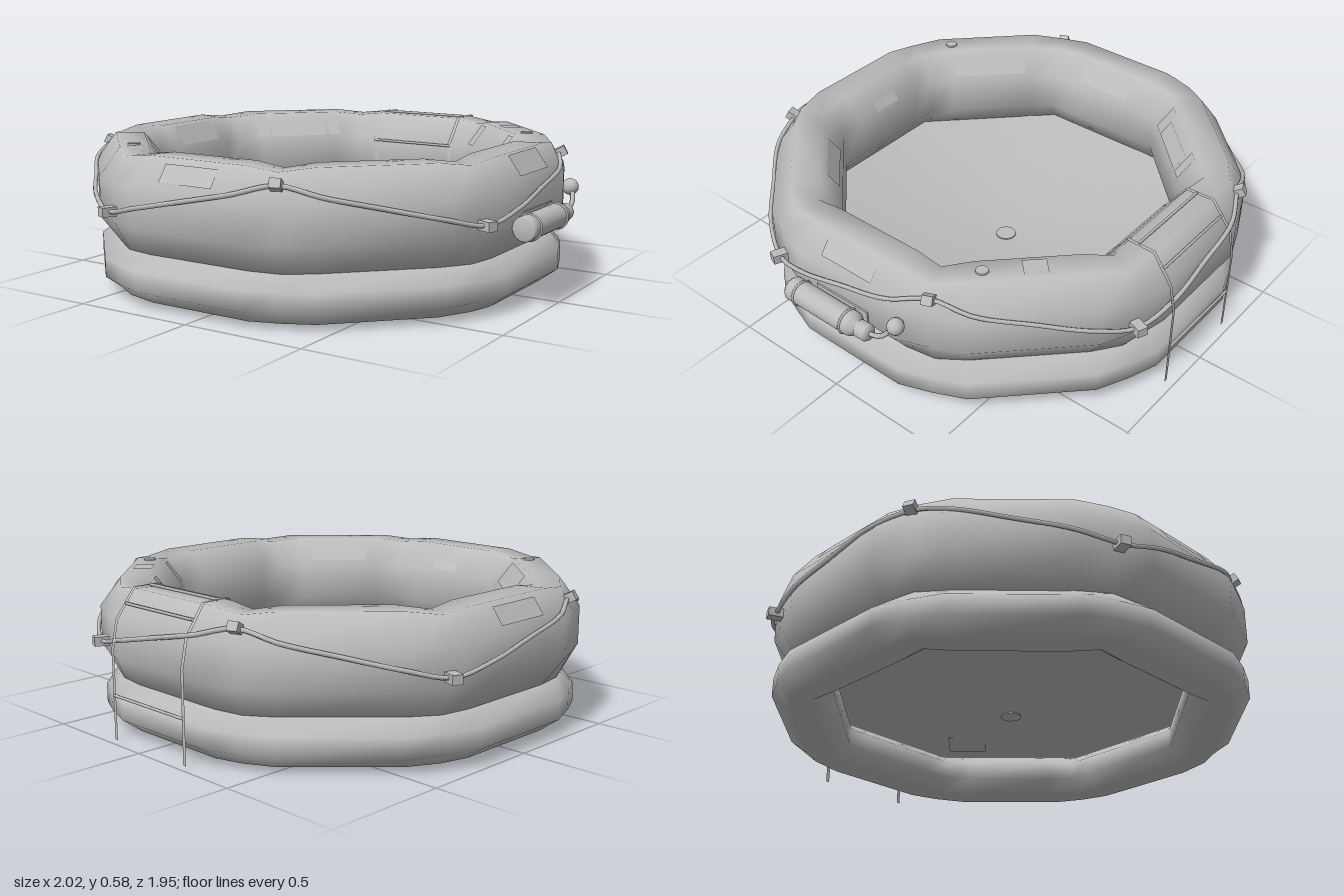
import * as THREE from 'three';

const grey = new THREE.MeshStandardMaterial({ color: 0xbcbcbc });
grey.name = 'grey rubber';
const greySheet = new THREE.MeshStandardMaterial({ color: 0xbcbcbc, side: THREE.DoubleSide });
greySheet.name = 'grey sheet';

// free = side (up or down) that is pinched at the corners, away from the other tube
const UPPER = { apothem: 0.808, rx: 0.1375, y: 0.389, ry: 0.188, free: 1 };
const LOWER = { apothem: 0.812, rx: 0.123, y: 0.109, ry: 0.093, free: -1 };
const TAN = Math.tan(Math.PI / 8);
const rad = THREE.MathUtils.degToRad;

// Position on side k (0 = front, counted towards +x); n outwards, s along the side
function onSide(k, n, s, y) {
  const a = k * Math.PI / 4;
  return new THREE.Vector3(n * Math.sin(a) + s * Math.cos(a), y, n * Math.cos(a) - s * Math.sin(a));
}

// Point on the eight-sided upper tube section; angle 0 = outside, 90 = top, 180 = inside
function onSkin(k, s, deg, off = 0) {
  const t = rad(deg), r = 1 / Math.cos(rad((deg + 382.5) % 45 - 22.5));
  return onSide(k, UPPER.apothem + (UPPER.rx * r + off) * Math.cos(t), s, UPPER.y + (UPPER.ry * r + off) * Math.sin(t));
}

// Grid of points to a smooth surface
function gridGeometry(rows, closed) {
  const R = rows.length, C = rows[0].length, pos = [], idx = [];
  rows.forEach(r => r.forEach(p => pos.push(p.x, p.y, p.z)));
  for (let i = 0; i < (closed ? R : R - 1); i++) {
    for (let j = 0; j < (closed ? C : C - 1); j++) {
      const i2 = (i + 1) % R, j2 = (j + 1) % C;
      const a = i * C + j, b = i2 * C + j, c = i2 * C + j2, d = i * C + j2;
      idx.push(a, b, c, a, c, d);
    }
  }
  const g = new THREE.BufferGeometry();
  g.setAttribute('position', new THREE.Float32BufferAttribute(pos, 3));
  g.setIndex(idx);
  g.computeVertexNormals();
  return g;
}

// Eight-sided inflated ring with an eight-sided section, pinched at the mitred corners
function ringGeometry(t) {
  const rows = [], grow = 1 / Math.cos(Math.PI / 8);
  for (let k = 0; k < 8; k++) {
    for (const f of [-1, -0.62, 0.62]) {
      const corner = f === -1, row = [];
      for (let j = 0; j < 8; j++) {
        const a = (j + 0.5) * Math.PI / 4;
        const c = Math.cos(a) * grow, s = Math.sin(a) * grow;
        const n = t.apothem + t.rx * c * (corner && c > 0 ? 0.64 : 1);
        row.push(onSide(k, n, f * n * TAN, t.y + t.ry * s * (corner && s * t.free > 0 ? 0.92 : 1)));
      }
      rows.push(row);
    }
  }
  return gridGeometry(rows, true);
}

export function createModel() {
  const model = new THREE.Group();
  const raft = new THREE.Group();
  raft.name = 'raft';
  raft.position.set(-0.04, 0, 0.01);
  model.add(raft);

  function add(parent, name, geometry, pos, material = grey) {
    const m = new THREE.Mesh(geometry, material);
    m.name = name;
    if (pos) m.position.copy(pos);
    parent.add(m);
    return m;
  }
  const tube = (pts, r, n, closed = false) =>
    new THREE.TubeGeometry(new THREE.CatmullRomCurve3(pts, closed, 'centripetal'), n, r, 6, closed);

  // Buoyancy tubes
  add(raft, 'upperTube', ringGeometry(UPPER));
  add(raft, 'lowerTube', ringGeometry(LOWER));

  // Sagging floor
  const sag = r => 0.09 + 0.12 * (r / 0.877) ** 1.6;
  const floorProfile = [0.001, 0.15, 0.3, 0.45, 0.6, 0.75, 0.877].map(r => new THREE.Vector2(r, sag(r)));
  add(raft, 'floor', new THREE.LatheGeometry(floorProfile, 8, Math.PI / 8), null, greySheet);
  add(raft, 'floorDisc', new THREE.CylinderGeometry(0.042, 0.042, 0.01, 20), new THREE.Vector3(0, 0.092, 0));
  add(raft, 'floorPatch', new THREE.BoxGeometry(0.16, 0.006, 0.16),
    new THREE.Vector3(0.16, sag(0.46), -0.43)).rotation.y = Math.PI / 4;

  // Grab line zigzagging between fittings on the outer corners
  const ropePoints = [];
  for (let k = 0; k < 8; k++) {
    const high = k % 2 === 1;
    const y0 = high ? 0.52 : 0.358, y1 = high ? 0.358 : 0.52;
    const n0 = (high ? 0.945 : 0.995) * Math.cos(Math.PI / 8);
    const at = onSide(k, n0, -n0 * TAN, y0);
    ropePoints.push(at);
    for (const f of [0.22, 0.5, 0.78]) {
      const y = y0 + (y1 - y0) * f;
      const n = UPPER.apothem + UPPER.rx * Math.sqrt(1 - ((y - UPPER.y) / UPPER.ry) ** 2) + 0.014;
      ropePoints.push(onSide(k, n, (2 * f - 1) * 0.38, y));
    }
    const fitting = add(raft, 'ropeFitting', new THREE.BoxGeometry(0.042, 0.036, 0.064), at);
    fitting.rotation.order = 'YXZ';
    fitting.rotation.y = k * Math.PI / 4 - Math.PI / 8;
    fitting.rotation.x = high ? -0.5 : 0;
  }
  add(raft, 'grabLine', tube(ropePoints, 0.009, 160, true));

  // Boarding ladder of flat straps over the back tube
  const ladder = new THREE.Group();
  ladder.name = 'boardingLadder';
  raft.add(ladder);
  for (const [s, flare] of [[0.165, 0.02], [-0.215, -0.015]]) {
    const rows = [-0.008, 0.008].map(w => {
      const row = [202.5, 157.5, 112.5, 67.5, 22.5].map((d, i) => onSkin(4, s + w + flare * i / 4, d, 0.006));
      row.push(onSide(4, 0.974, s + w + flare, 0.36), onSide(4, 0.974, s + w + flare, 0.005));
      return row;
    });
    add(ladder, 'ladderRail', gridGeometry(rows, false), null, greySheet);
  }
  const rungs = [160, 95, 45].map(d => [onSkin(4, 0.175, d, 0.006), onSkin(4, -0.225, d, 0.006)]);
  rungs.push([onSide(4, 0.974, 0.185, 0.18), onSide(4, 0.974, -0.23, 0.18)]);
  for (const ends of rungs) add(ladder, 'ladderRung', tube(ends, 0.006, 2));

  // Thin patches following the tube: side, middle, half length, start and end angle
  const patches = [
    [0, 0, 0.12, 32, 58], [0, 0, 0.065, 140, 155],
    [1, 0, 0.13, 125, 150],
    [2, 0, 0.125, 34, 64], [6, 0, 0.125, 34, 60], [6, 0, 0.125, 118, 150],
    [7, 0, 0.16, 118, 152],
    [5, 0, 0.13, 130, 154], [5, -0.17, 0.025, 118, 154], [5, 0.17, 0.025, 118, 154],
    [3, -0.17, 0.025, 118, 152], [3, 0.17, 0.03, 118, 152], [3, 0.02, 0.045, 76, 106],
  ];
  for (const [k, mid, half, d0, d1] of patches) {
    const rows = [-half, half].map(h => {
      const row = [];
      for (let j = 0; j <= 5; j++) row.push(onSkin(k, mid + h, d0 + (d1 - d0) * j / 5, 0.004));
      return row;
    });
    add(raft, 'tubePatch', gridGeometry(rows, false), null, greySheet);
  }

  // Inflation valves
  for (const [k, s] of [[7, 0.17], [3, -0.17]]) {
    add(raft, 'valve', new THREE.CylinderGeometry(0.024, 0.026, 0.012, 16), onSkin(k, s, 90));
  }

  // Gas bottle on the model's left
  const bottle = new THREE.Group();
  bottle.name = 'gasBottle';
  bottle.position.set(0.952, 0.325, 0);
  model.add(bottle);
  const profile = [[0, -0.25], [0.04, -0.248], [0.048, -0.238], [0.048, -0.23], [0.048, 0.07], [0.046, 0.083],
    [0.03, 0.098], [0.028, 0.102], [0.034, 0.108], [0.034, 0.15], [0.026, 0.162], [0, 0.164]];
  add(bottle, 'bottleBody', new THREE.LatheGeometry(profile.map(p => new THREE.Vector2(...p)), 24).rotateX(-Math.PI / 2));
  for (const z of [0.195, -0.05]) {
    add(bottle, 'bottleBand', new THREE.TorusGeometry(0.049, 0.005, 6, 24), new THREE.Vector3(0, 0, z));
  }
  add(bottle, 'mountPlate', new THREE.BoxGeometry(0.02, 0.09, 0.26), new THREE.Vector3(-0.05, 0, 0.02));
  add(bottle, 'hose', tube([[0, 0, -0.15], [0, 0.012, -0.195], [-0.005, 0.035, -0.23], [-0.02, 0.075, -0.26]]
    .map(p => new THREE.Vector3(...p)), 0.01, 20));
  add(bottle, 'hoseValve', new THREE.SphereGeometry(0.033, 16, 12), new THREE.Vector3(-0.03, 0.078, -0.265));

  return model;
}
